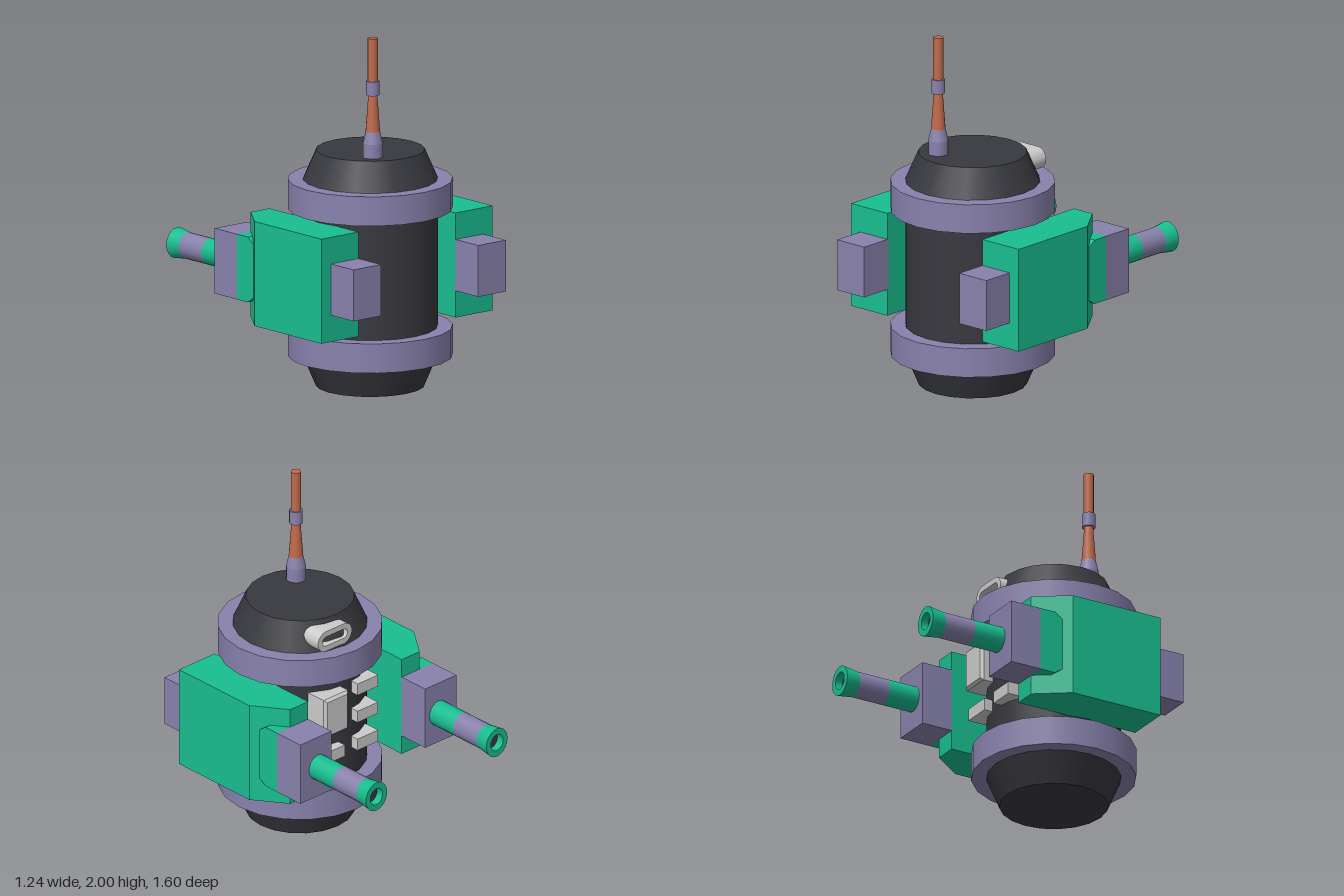
import * as THREE from 'three';
import { toCreasedNormals } from 'three/addons/utils/BufferGeometryUtils.js';

const mat = (color) => new THREE.MeshStandardMaterial({ color });
const dark = mat(0x38393f), purple = mat(0x8882ad), green = mat(0x19be90);
const copper = mat(0xc06a4c), grey = mat(0xcccccc);

function add(parent, name, geometry, material, x = 0, y = 0, z = 0) {
  const mesh = new THREE.Mesh(geometry, material);
  mesh.name = name;
  mesh.position.set(x, y, z);
  parent.add(mesh);
  return mesh;
}

// Upright round section between two heights
function drum(parent, name, material, rBottom, rTop, y0, y1, sides = 20) {
  const geo = new THREE.CylinderGeometry(rTop, rBottom, y1 - y0, sides);
  return add(parent, name, geo, material, 0, (y0 + y1) / 2, 0);
}

// Box given by its limits on each axis
function block(parent, name, material, x0, x1, y0, y1, z0, z1) {
  const geo = new THREE.BoxGeometry(Math.abs(x1 - x0), y1 - y0, z1 - z0);
  return add(parent, name, geo, material, (x0 + x1) / 2, (y0 + y1) / 2, (z0 + z1) / 2);
}

// Flat outline pushed along its own z
function extrude(points, depth) {
  const shape = new THREE.Shape(points.map(([x, y]) => new THREE.Vector2(x, y)));
  return new THREE.ExtrudeGeometry(shape, { depth, bevelEnabled: false });
}

// Stadium outline with its width along x
function stadium(path, x0, x1, y0, y1) {
  const r = (y1 - y0) / 2, cy = (y0 + y1) / 2;
  path.moveTo(x0 + r, y0);
  path.lineTo(x1 - r, y0);
  path.absarc(x1 - r, cy, r, -Math.PI / 2, Math.PI / 2, false);
  path.lineTo(x0 + r, y1);
  path.absarc(x0 + r, cy, r, Math.PI / 2, Math.PI * 1.5, false);
  return path;
}

function createBody() {
  const body = new THREE.Group();
  body.name = 'body';
  body.position.z = 0.3;
  drum(body, 'lowerTaper', dark, 0.3, 0.372, 0, 0.17);
  drum(body, 'barrelBody', dark, 0.372, 0.372, 0.17, 1.165);
  drum(body, 'upperTaper', dark, 0.372, 0.3, 1.165, 1.33);
  drum(body, 'lowerRing', purple, 0.455, 0.455, 0.17, 0.335);
  drum(body, 'upperRing', purple, 0.455, 0.455, 1.0, 1.165);
  return body;
}

function createAntenna() {
  const antenna = new THREE.Group();
  antenna.name = 'antenna';
  antenna.position.set(-0.115, 0, 0.455);
  drum(antenna, 'antennaBase', purple, 0.055, 0.055, 1.32, 1.41, 16);
  drum(antenna, 'antennaBaseTaper', purple, 0.055, 0.04, 1.41, 1.475, 16);
  drum(antenna, 'antennaCone', copper, 0.04, 0.025, 1.475, 1.68, 16);
  drum(antenna, 'antennaCollar', purple, 0.037, 0.037, 1.68, 1.76, 16);
  drum(antenna, 'antennaRod', copper, 0.028, 0.028, 1.76, 2.0, 16);
  return antenna;
}

// Nozzle pointing backwards, slightly taller than wide
function createNozzle(side) {
  const nozzle = new THREE.Group();
  nozzle.name = 'nozzle';
  nozzle.position.set(side * 0.453, 0.675, 0);
  nozzle.scale.x = 0.92;
  const tube = (z0, z1) =>
    new THREE.CylinderGeometry(0.074, 0.074, z0 - z1, 20).rotateX(-Math.PI / 2).translate(0, 0, (z0 + z1) / 2);
  add(nozzle, 'nozzleInner', tube(-0.32, -0.52), green);
  add(nozzle, 'nozzleSleeve', tube(-0.52, -0.71), purple);
  const profile = [[0.074, 0], [0.087, 0.09], [0.05, 0.09], [0.05, 0.01]].map(([r, y]) => new THREE.Vector2(r, y));
  const flare = toCreasedNormals(new THREE.LatheGeometry(profile, 20), 0.6).rotateX(-Math.PI / 2);
  add(nozzle, 'nozzleFlare', flare, green, 0, 0, -0.71);
  add(nozzle, 'nozzleBore', new THREE.CircleGeometry(0.051, 20).rotateY(Math.PI), dark, 0, 0, -0.755);
  return nozzle;
}

function createSidePod(side) {
  const pod = new THREE.Group();
  pod.name = side > 0 ? 'leftPod' : 'rightPod';
  // Main housing with its outer back corner cut away
  const plan = [[0.352, -0.61], [0.62, -0.61], [0.62, -0.045], [0.487, 0.142], [0.352, 0.142]];
  const housing = extrude(plan.map(([x, y]) => [side * x, y]), 0.59).rotateX(-Math.PI / 2);
  add(pod, 'podHousing', housing, green, 0, 0.38, 0);
  block(pod, 'frontBlock', purple, side * 0.352, side * 0.552, 0.53, 0.82, 0.6, 0.8);
  // Rear block: chamfered green part, then purple part
  const rear = extrude([[0, 0.525], [0.05, 0.492], [0.142, 0.492], [0.142, 0.86], [0.05, 0.86], [0, 0.825]], 0.235);
  rear.rotateY(Math.PI / 2);
  add(pod, 'rearBlockChamfer', rear, green, side > 0 ? 0.352 : -0.587, 0, 0);
  block(pod, 'rearBlock', purple, side * 0.352, side * 0.587, 0.492, 0.86, -0.33, -0.142);
  pod.add(createNozzle(side));
  return pod;
}

function createRearDetails() {
  const details = new THREE.Group();
  details.name = 'rearDetails';
  // Tall panel with bevelled edges
  const s = new THREE.Shape();
  s.moveTo(0.055, 0.695).lineTo(0.205, 0.695).lineTo(0.205, 0.905).lineTo(0.055, 0.905).closePath();
  const panel = new THREE.ExtrudeGeometry(s, {
    depth: 0.14, bevelThickness: 0.015, bevelSize: 0.015, bevelSegments: 1,
  });
  add(details, 'tallPanel', panel, grey, 0, 0, -0.125);
  // Small panels
  block(details, 'smallPanel', grey, 0.05, 0.22, 0.505, 0.575, -0.115, 0.05);
  for (const y of [0.505, 0.68, 0.85]) {
    block(details, 'smallPanel', grey, -0.2, -0.045, y, y + 0.07, -0.115, 0.05);
  }
  // Hollow slot-shaped port on the upper taper
  const port = stadium(new THREE.Shape(), -0.045, 0.21, 1.18, 1.303);
  port.holes.push(stadium(new THREE.Path(), -0.012, 0.177, 1.213, 1.27));
  const portGeo = new THREE.ExtrudeGeometry(port, { depth: 0.135, bevelEnabled: false, curveSegments: 10 });
  add(details, 'slotPort', toCreasedNormals(portGeo, 0.6), grey, 0, 0, -0.07);
  return details;
}

export function createModel() {
  const model = new THREE.Group();
  model.name = 'backpackUnit';
  model.add(createBody(), createAntenna(), createSidePod(1), createSidePod(-1), createRearDetails());
  return model;
}
